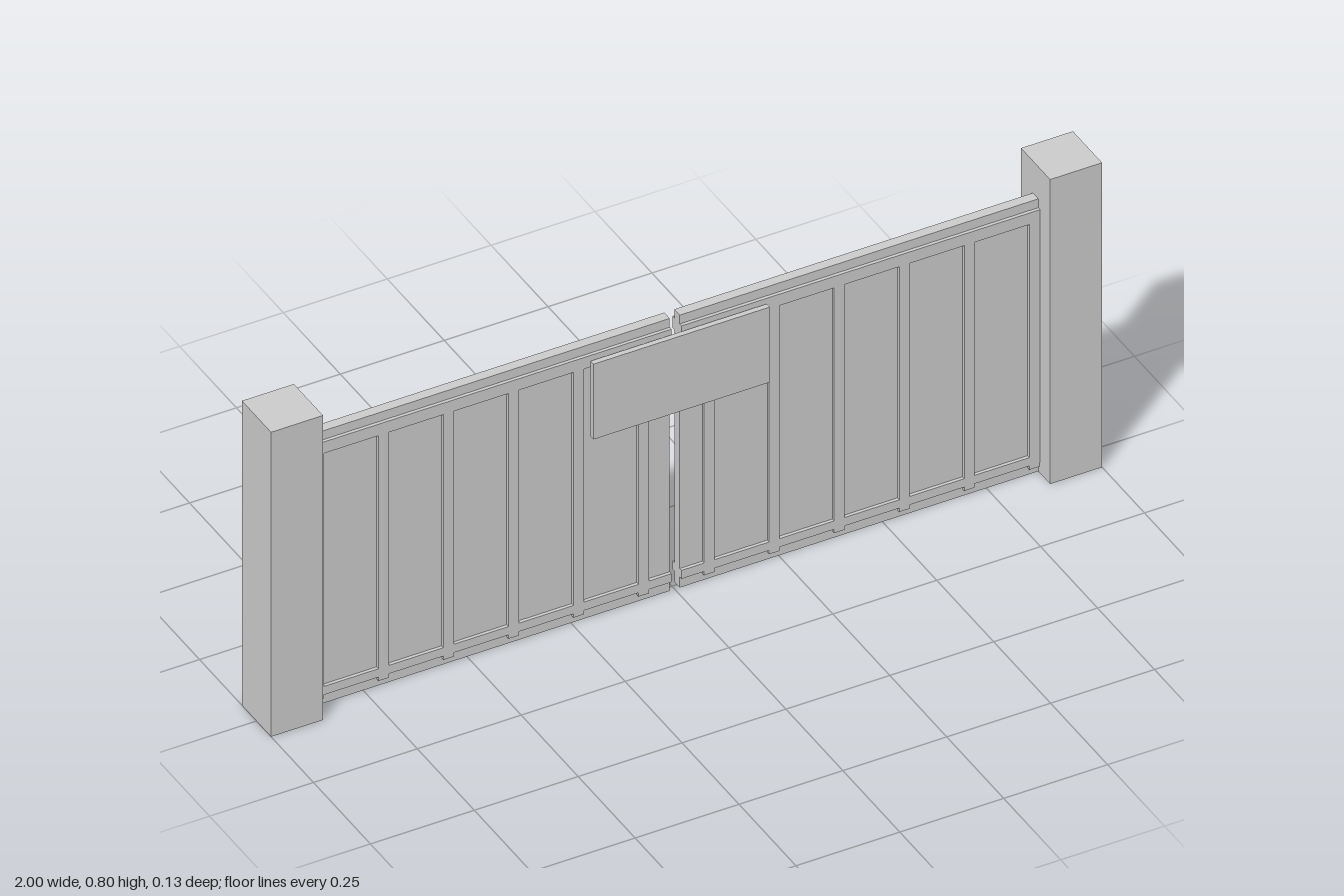
import * as THREE from 'three';

const material = new THREE.MeshStandardMaterial({ color: 0xcccccc, flatShading: true });

// Box given by its lower and upper corners
function box(name, [x0, y0, z0], [x1, y1, z1]) {
  const mesh = new THREE.Mesh(new THREE.BoxGeometry(x1 - x0, y1 - y0, z1 - z0), material);
  mesh.name = name;
  mesh.position.set((x0 + x1) / 2, (y0 + y1) / 2, (z0 + z1) / 2);
  return mesh;
}

const INNER = 0.012, OUTER = 0.875;   // leaf extent along x
const BARS = 6, PITCH = 0.1565, FIRST = 0.079, HALF = 0.0125;
const RAIL = { foot: 0.018, low: 0.028, panelLow: 0.05, panelHigh: 0.66, high: 0.69 };

// Rails and upright bars as one flat frame, open at the meeting edge
function frameGeometry(side) {
  const bars = Array.from({ length: BARS }, (_, i) => FIRST + i * PITCH);
  const pts = [[INNER, RAIL.low]];
  for (const x of bars) {
    pts.push([x - HALF, RAIL.low], [x - HALF, RAIL.foot], [x + HALF, RAIL.foot], [x + HALF, RAIL.low]);
  }
  pts.push([OUTER, RAIL.low], [OUTER, RAIL.high], [INNER, RAIL.high], [INNER, RAIL.panelHigh],
    [bars[0] - HALF, RAIL.panelHigh], [bars[0] - HALF, RAIL.panelLow], [INNER, RAIL.panelLow]);
  const toVectors = (list) => list.map(([x, y]) => new THREE.Vector2(side * x, y));
  const shape = new THREE.Shape(toVectors(pts));
  for (let i = 0; i < BARS - 1; i++) {
    const a = bars[i] + HALF, b = bars[i + 1] - HALF;
    shape.holes.push(new THREE.Path(toVectors([
      [a, RAIL.panelLow], [a, RAIL.panelHigh], [b, RAIL.panelHigh], [b, RAIL.panelLow],
    ])));
  }
  const geometry = new THREE.ExtrudeGeometry(shape, { depth: 0.04, bevelEnabled: false });
  return geometry.translate(0, 0, -0.02);
}

export function createModel() {
  const model = new THREE.Group();
  model.name = 'doubleGate';

  for (const [side, label] of [[1, 'left'], [-1, 'right']]) {
    // Square post
    const post = box(label + 'Post', [0.875, 0, -0.064], [1, 0.797, 0.064]);
    post.position.x *= side;
    model.add(post);

    // Leaf: thin core panel with the frame standing proud on both faces
    const leaf = new THREE.Group();
    leaf.name = label + 'Leaf';
    const panel = box('corePanel', [INNER, 0, -0.012], [OUTER, 0.713, 0.012]);
    panel.position.x *= side;
    const frame = new THREE.Mesh(frameGeometry(side), material);
    frame.name = 'railsAndBars';
    leaf.add(panel, frame);
    model.add(leaf);
  }

  // Blank sign board in front of the meeting edges
  model.add(box('signBoard', [-0.212, 0.486, 0.029], [0.212, 0.683, 0.042]));
  return model;
}
